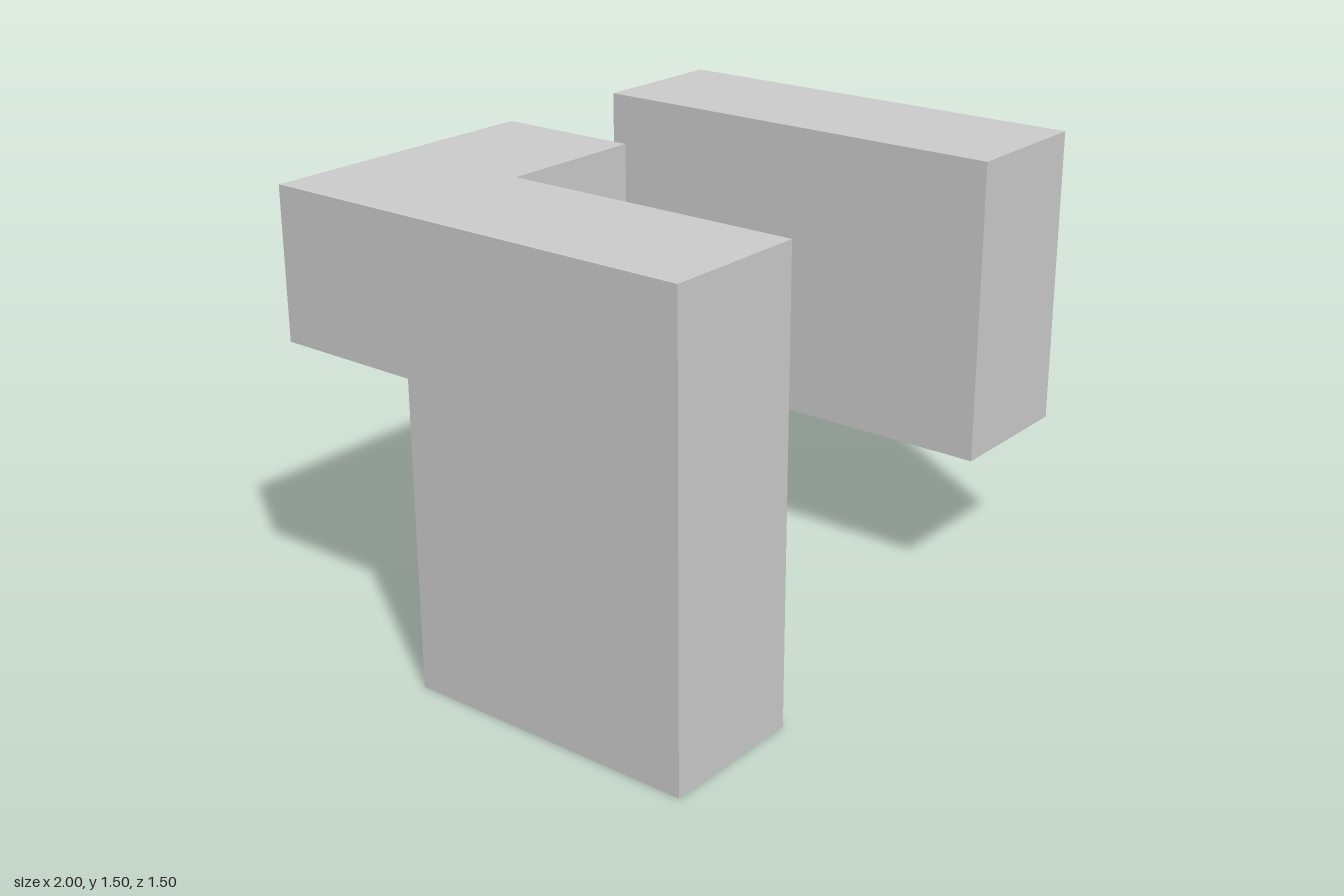
import * as THREE from 'three';

// Cubic grid: cells of size U, with a clearance G between separate neighbours
const U = 0.5033, G = 0.0133;
const H = 3 * U - G;          // height and depth
const Z0 = -H / 2, Z1 = H / 2;
const lo = (i) => i * U;              // start of cell i
const hi = (i) => (i + 1) * U - G;    // end of cell i

export function createModel() {
  const group = new THREE.Group();
  const material = new THREE.MeshStandardMaterial({ color: 0xcccccc, flatShading: true });

  // Prism from a corner list, extruded along z
  const prism = (name, points, depth) => {
    const shape = new THREE.Shape(points.map(([a, b]) => new THREE.Vector2(a, b)));
    const geometry = new THREE.ExtrudeGeometry(shape, { depth, bevelEnabled: false });
    const mesh = new THREE.Mesh(geometry, material);
    mesh.name = name;
    group.add(mesh);
    return mesh;
  };

  // Back wall: stepped band with a notch in its top edge
  const x = (v) => v - 1;
  const back = prism('backWall', [
    [-1, lo(2)], [x(lo(1)), lo(2)], [x(lo(1)), lo(1)], [1, lo(1)],
    [1, H], [x(lo(3)), H], [x(lo(3)), hi(1)], [x(hi(1)), hi(1)],
    [x(hi(1)), H], [-1, H],
  ], U - G);
  back.position.z = Z0;

  // Tall arm reaching the ground, drawn as a side profile (-z, y)
  const zJoin = Z0 + hi(0), zLeg = Z0 + lo(1);
  const leg = prism('tallArm', [
    [-Z1, 0], [-zLeg, 0], [-zLeg, lo(2)], [-zJoin, lo(2)], [-zJoin, H], [-Z1, H],
  ], U - G);
  leg.rotation.y = Math.PI / 2;
  leg.position.x = -1;

  // Short arm on the other side
  const arm = prism('shortArm', [
    [-Z1, lo(1)], [-zJoin, lo(1)], [-zJoin, H], [-Z1, H],
  ], U - G);
  arm.rotation.y = Math.PI / 2;
  arm.position.x = x(lo(3));

  return group;
}
